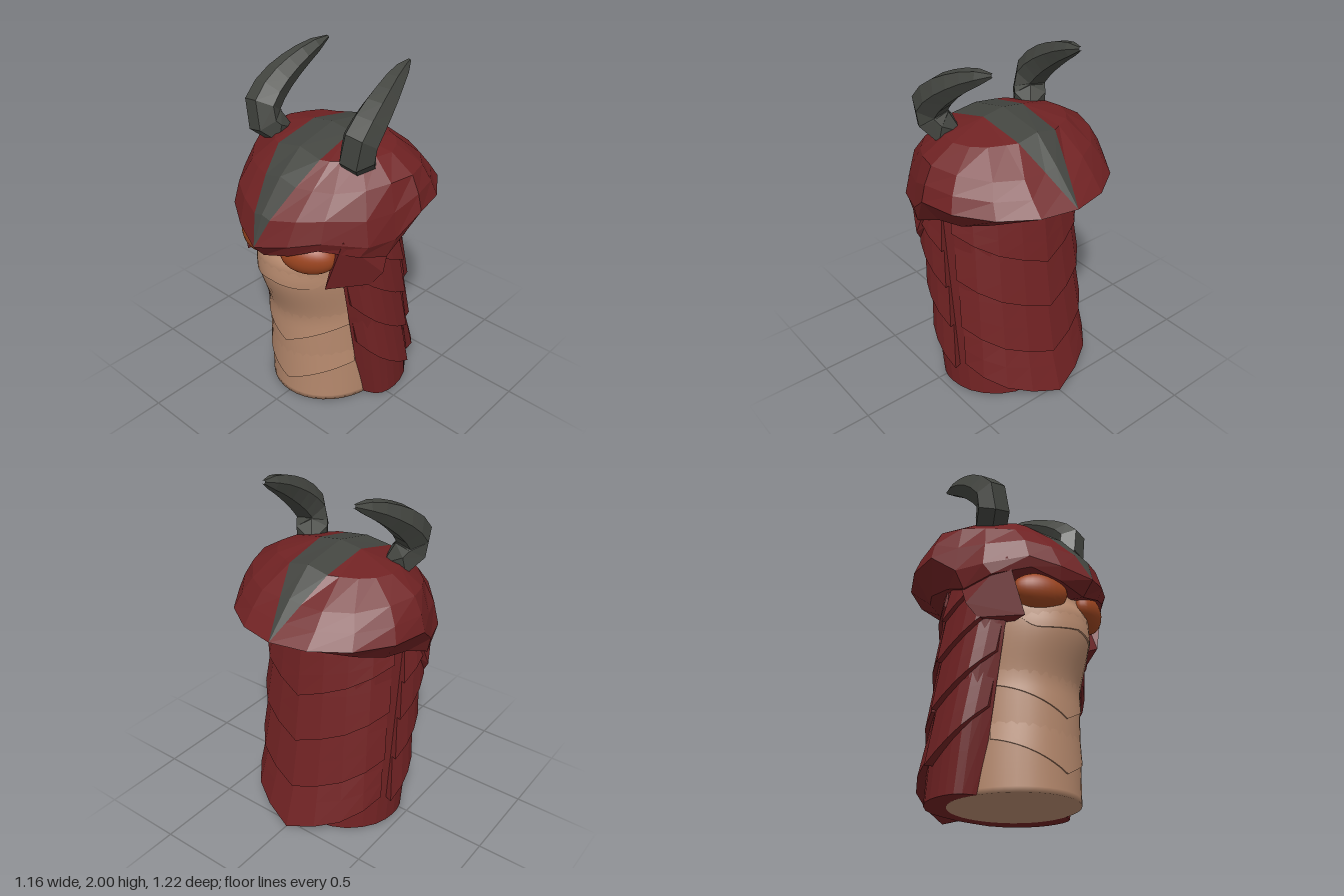
import * as THREE from 'three';
import { toCreasedNormals } from 'three/addons/utils/BufferGeometryUtils.js';
import { ConvexGeometry } from 'three/addons/geometries/ConvexGeometry.js';

const mat = (name, color) => {
  const m = new THREE.MeshStandardMaterial({ color });
  m.name = name;
  return m;
};
const V = (x, y, z) => new THREE.Vector3(x, y, z);

// Surface from a rule fn(i, j) -> Vector3, i to the right and j up as seen from outside
function grid(nu, nv, fn) {
  const pos = [], idx = [];
  for (let j = 0; j <= nv; j++) for (let i = 0; i <= nu; i++) pos.push(...fn(i, j).toArray());
  for (let j = 0; j < nv; j++) for (let i = 0; i < nu; i++) {
    const a = j * (nu + 1) + i, d = a + nu + 1;
    idx.push(a, a + 1, d + 1, a, d + 1, d);
  }
  const g = new THREE.BufferGeometry();
  g.setAttribute('position', new THREE.Float32BufferAttribute(pos, 3));
  g.setIndex(idx);
  return g;
}
const flat = (g) => {
  const f = g.index ? g.toNonIndexed() : g;
  f.computeVertexNormals();
  return f;
};
const smooth = (g) => toCreasedNormals(g, 0.7);

// Raised plate on surface(u, y, out), with its rim folded back to the surface
function plate(surface, u0, u1, yTop, yBottom, lift, nu = 8, nv = 3) {
  return grid(nu + 2, nv + 2, (i, j) => {
    const s = THREE.MathUtils.clamp((i - 1) / nu, 0, 1);
    const v = THREE.MathUtils.clamp((j - 1) / nv, 0, 1);
    const u = u0 + (u1 - u0) * s;
    const rim = i === 0 || i === nu + 2 || j === 0 || j === nv + 2;
    return surface(u, yTop + (yBottom(u) - yTop) * v, rim ? -0.015 : -0.004 + v * (lift(u) + 0.004));
  });
}

// Body: [height, half width, front depth]
const profile = [[0, 0.35, 0.39], [0.55, 0.345, 0.4], [0.92, 0.36, 0.495],
  [0.98, 0.36, 0.495], [1.08, 0.35, 0.45], [1.26, 0.33, 0.42]];
function bodyAt(a, y, out = 0) {
  let k = 0;
  while (k < profile.length - 2 && y > profile[k + 1][0]) k++;
  const [p, q] = [profile[k], profile[k + 1]];
  const t = THREE.MathUtils.smoothstep(y, p[0], q[0]);
  const rx = p[1] + (q[1] - p[1]) * t + out, rf = p[2] + (q[2] - p[2]) * t + out;
  return V(Math.sin(a) * rx, y, Math.cos(a) * (Math.cos(a) > 0 ? rf : 0.33));
}

// Back shell: u = 0 at the spine, u = +-1 at the front edges
const shellCurve = new THREE.CatmullRomCurve3([V(0, 0, -0.41), V(0.25, 0, -0.37), V(0.41, 0, -0.22),
  V(0.45, 0, -0.06), V(0.42, 0, 0.05), V(0.32, 0, 0.1)]);
function shellAt(u, y, out = 0) {
  const w = Math.abs(u), p = shellCurve.getPoint(w);
  const r = Math.hypot(p.x, p.z);
  return V(Math.sign(u) * p.x * (1 + out / r), y, p.z * (1 + out / r) + y * (0.05 + 0.14 * w));
}

// Helmet half rings, front to back: lower edge, widest line, upper side, crown
const lowerEdge = [[0, 1.06, 0.54], [0, 1.06, 0.54], [0.16, 1.11, 0.515], [0.3, 1.165, 0.44], [0.45, 1.12, 0.29], [0.5, 1.07, 0.13],
  [0.47, 1.14, -0.03], [0.44, 1.17, -0.2], [0.34, 1.2, -0.33], [0.18, 1.22, -0.43], [0, 1.25, -0.5], [0, 1.25, -0.5]];
const widest = [[0, 1.14, 0.61], [0, 1.14, 0.61], [0.175, 1.18, 0.54], [0.325, 1.22, 0.445], [0.485, 1.18, 0.26], [0.535, 1.18, 0.1],
  [0.58, 1.3, -0.05], [0.535, 1.3, -0.25], [0.4, 1.3, -0.44], [0.21, 1.3, -0.565], [0, 1.3, -0.61], [0, 1.3, -0.61]];
const upper = [[0, 1.475, 0.4], [0.11, 1.45, 0.4], [0.2, 1.45, 0.37], [0.3, 1.45, 0.32], [0.41, 1.46, 0.2], [0.475, 1.48, 0.08],
  [0.51, 1.49, -0.05], [0.46, 1.48, -0.2], [0.34, 1.46, -0.34], [0.2, 1.46, -0.42], [0.07, 1.46, -0.43], [0, 1.475, -0.435]];
const crown = [[0, 1.595, 0.25], [0.15, 1.57, 0.26], [0.2, 1.57, 0.24], [0.24, 1.57, 0.2], [0.31, 1.57, 0.12], [0.35, 1.575, 0.05],
  [0.37, 1.575, -0.05], [0.33, 1.575, -0.14], [0.27, 1.58, -0.21], [0.18, 1.58, -0.25], [0.125, 1.585, -0.28], [0, 1.61, -0.28]];
// Rows of the helmet from the hidden underside centre up to the ridge
const helmetRows = [
  () => V(0, 1.18, 0),
  (c) => V(...lowerEdge[c]),
  (c) => V(...widest[c]),
  (c) => {
    const p = V(...widest[c]).lerp(V(...upper[c]), 0.5);
    return V(p.x * 1.02, p.y, p.z * (p.z > 0 ? 1.07 : 1));
  },
  (c) => V(...upper[c]),
  (c) => V(...crown[c]),
  (c) => (c % 11 ? V(0.135, 1.635, 0) : V(0, 1.655, 0)),
];
// Both halves of a run of helmet columns c0..c1 and rows r0..r1
function helmetParts(c0, c1, r0, r1) {
  return [1, -1].map((side) => flat(grid(c1 - c0, r1 - r0, (i, j) => {
    const p = helmetRows[r0 + j](side > 0 ? c0 + i : c1 - i);
    p.x *= side;
    return p;
  })));
}

export function createModel() {
  const group = new THREE.Group();
  const red = mat('dark red', 0x702223), tan = mat('tan skin', 0xb6896d);
  const grey = mat('horn grey', 0x434540), orange = mat('eye orange', 0x9c4520);
  const add = (name, geometry, material) => {
    const m = new THREE.Mesh(geometry, material);
    m.name = name;
    group.add(m);
    return m;
  };

  // Body with a softly shaded base, its seam hidden under the shell
  const body = grid(40, 43, (i, j) => (j === 0 ? V(0, 0, 0)
    : bodyAt((i / 40) * Math.PI * 2 - Math.PI, (j - 1) * 0.03)));
  body.computeVertexNormals();
  add('body', body, tan);

  // Belly plates with V-shaped lower edges, and the upper lip
  for (const [tip, top] of [[0.405, 0.68], [0.115, 0.4]]) {
    add('bellyPlate', smooth(plate(bodyAt, 1.15, -1.15, top,
      (a) => tip + 0.175 * Math.abs(Math.sin(a)), () => 0.008, 24, 6)), tan);
  }
  add('upperLip', smooth(plate(bodyAt, 0.85, -0.85, 0.99,
    (a) => 0.88 - 0.02 * Math.sin(Math.min(1, Math.abs(a) / 0.6) * Math.PI / 2) + 0.84 * Math.max(0, Math.abs(a) - 0.58) ** 2,
    (a) => 0.009 * (1 - (a / 0.85) ** 2), 24, 5)), tan);

  // Back shell with a base
  add('backShell', flat(grid(24, 7, (i, j) => (j === 7 ? V(0, 0.004, 0)
    : shellAt(i / 12 - 1, 1.26 * (1 - j / 6))))), red);

  // Overlapping spine scales, the lowest forming the tail
  for (const [tip, top, lift] of [[0, 0.5, 0.13], [0.26, 0.78, 0.075], [0.57, 1.02, 0.05], [0.86, 1.24, 0.03]]) {
    add('spineScale', flat(plate(shellAt, -0.42, 0.42, top,
      (u) => tip + 0.5 * Math.abs(u), (u) => 0.02 + (lift - 0.02) * (1 - Math.abs(u) / 0.42))), red);
  }
  // Side scales, slanting down to a rear point
  for (const tip of [0.17, 0.46, 0.72, 0.95]) for (const [u0, u1] of [[0.48, 0.97], [-0.97, -0.48]]) {
    add('sideScale', flat(plate(shellAt, u0, u1, Math.min(1.23, tip + 0.46),
      (u) => tip + 0.55 * (Math.abs(u) - 0.48), (u) => 0.045 - 0.05 * (Math.abs(u) - 0.48), 5)), red);
  }

  // Helmet shell, underside and crest
  helmetParts(0, 11, 0, 2).forEach((g) => add('helmetUnderside', g, red));
  helmetParts(1, 10, 2, 6).forEach((g) => add('helmetDome', g, red));
  helmetParts(0, 1, 2, 6).forEach((g) => add('crestFront', g, grey));
  helmetParts(10, 11, 2, 6).forEach((g) => add('crestBack', g, grey));

  const taper = [0, 1, 1.02, 1, 0.95, 0.86, 0.74, 0.6, 0.42, 0.1];
  for (const s of [1, -1]) {
    // Cheek guard
    add('cheekGuard', flat(new ConvexGeometry([
      [0.4, 1.22, 0.36], [0.3, 0.9, 0.39], [0.45, 0.9, 0.19], [0.5, 0.98, 0.15], [0.49, 1.1, 0.1],
      [0.3, 1.2, 0.28], [0.28, 0.9, 0.28], [0.36, 0.9, 0.18], [0.38, 1.1, 0.05],
    ].map(([x, y, z]) => V(s * x, y, z)))), red);

    // Horn: tapered six-sided tube curving backwards
    const path = new THREE.CatmullRomCurve3([[0.24, 1.56, 0.05], [0.315, 1.585, 0.15], [0.345, 1.68, 0.19],
      [0.35, 1.78, 0.115], [0.335, 1.87, -0.01], [0.31, 1.94, -0.14], [0.285, 1.99, -0.275]]
      .map(([x, y, z]) => V(s * x, y, z)));
    const n = taper.length - 1, horn = new THREE.TubeGeometry(path, n, 0.1, 6);
    const pos = horn.attributes.position, p = new THREE.Vector3();
    for (let i = 0; i < pos.count; i++) {
      const ring = Math.floor(i / 7), c = path.getPointAt(ring / n);
      p.fromBufferAttribute(pos, i).sub(c).multiplyScalar(taper[ring]).add(c);
      pos.setXYZ(i, p.x, p.y, p.z);
    }
    add('horn', flat(horn), grey);

    // Eye, tucked under the brow
    const eye = add('eye', new THREE.SphereGeometry(1, 28, 18), orange);
    eye.scale.set(0.155, 0.1, 0.085);
    eye.position.set(s * 0.195, 1.07, 0.4);
    eye.rotation.y = s * 0.5;
  }
  return group;
}
